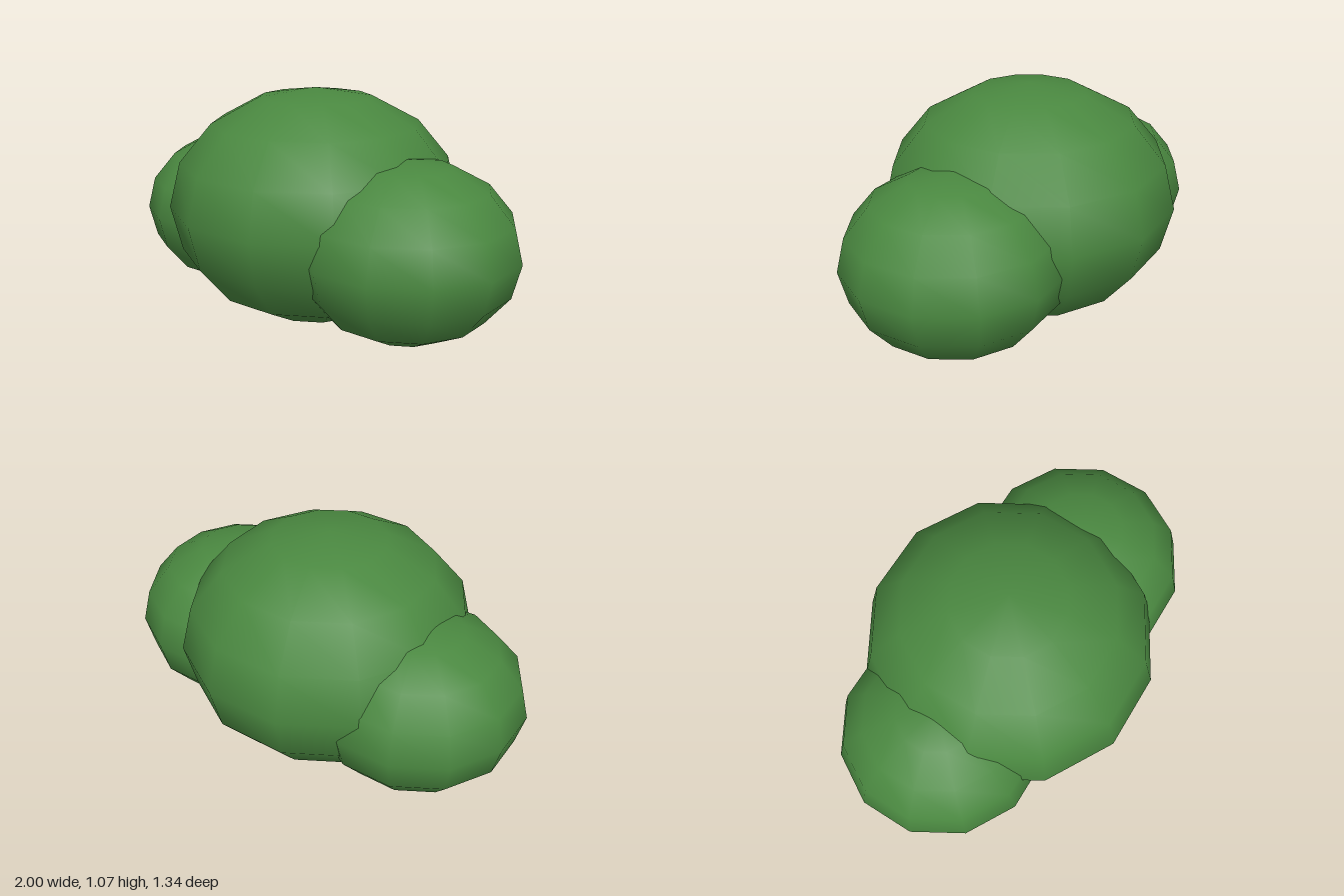
import * as THREE from 'three';

export function createModel() {
  const group = new THREE.Group();
  group.name = 'bush';

  const leafGreen = new THREE.MeshStandardMaterial({ color: 0x4a8840 });
  leafGreen.name = 'leaf green';

  // One low-segment sphere shared by all clumps, squashed to 0.8 of its height
  const sphere = new THREE.SphereGeometry(1, 12, 8);
  const squash = 0.8;

  function addClump(name, radius, x, y, z) {
    const geometry = sphere.clone().scale(radius, radius * squash, radius);
    const clump = new THREE.Mesh(geometry, leafGreen);
    clump.name = name;
    clump.position.set(x, y, z);
    group.add(clump);
  }

  // Large middle clump with a smaller one on each side
  addClump('middleClump', 0.67, -0.03, 0.54, 0);
  addClump('leftClump', 0.495, 0.503, 0.435, -0.09);
  addClump('rightClump', 0.475, -0.525, 0.435, 0.085);

  return group;
}
